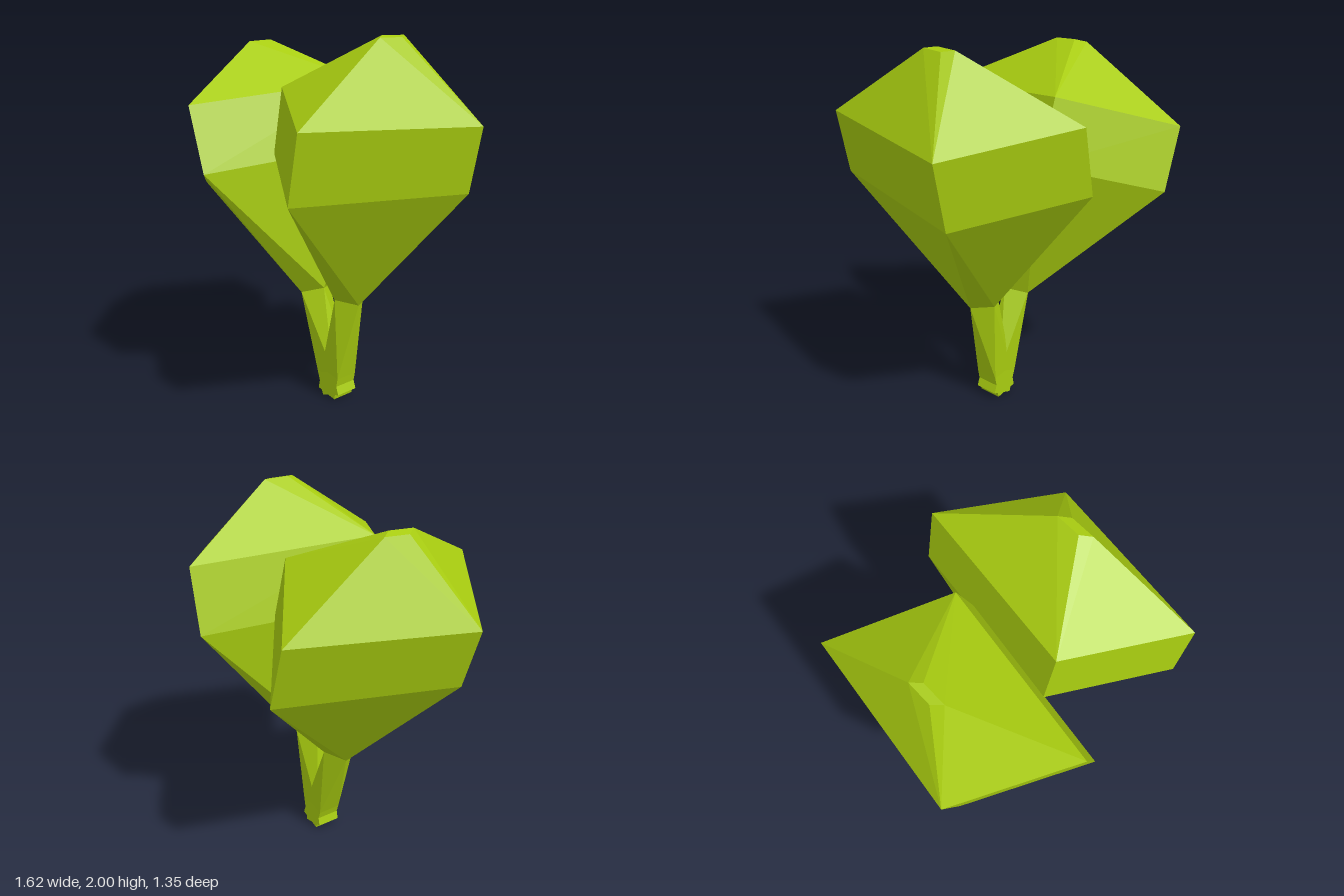
import * as THREE from 'three';
import { ConvexGeometry } from 'three/addons/geometries/ConvexGeometry.js';

const green = new THREE.MeshStandardMaterial({ color: 0xa8cc10, flatShading: true });

// Four-cornered ring at height y, starting from corner (a, b), with its width scaled by sx
function ring(y, a, b, sx = 1) {
  return [[a, b], [b, -a], [-a, -b], [-b, a]].map(([x, z]) => new THREE.Vector3(x * sx, y, z));
}

function part(name, geometry, x = 0) {
  const mesh = new THREE.Mesh(geometry, green);
  mesh.name = name;
  mesh.position.x = x;
  return mesh;
}

// One bud on its stalk, standing upright on the origin
function createBranch(name, tilt) {
  const branch = new THREE.Group();
  branch.name = name;
  const h = 0.066;
  const axis = -0.01;
  const neck = ring(0.53, -0.015, 0.092);

  // faceted bud: small cap, two wide rings, twisted narrow neck
  branch.add(part('bud', new ConvexGeometry([
    ...ring(1.945, 0.04, 0.094, 0.3),
    ...ring(1.60, 0.29, 0.677, 0.61),
    ...ring(1.25, 0.29, 0.677, 0.61),
    ...neck,
  ]), axis));

  // tapering stalk down to the square foot
  const footTop = ring(h, h, h).map((p) => p.setX(p.x - axis));
  branch.add(part('stalk', new ConvexGeometry([...neck, ...footTop]), axis));
  branch.add(part('stalkFoot', new THREE.BoxGeometry(2 * h, 2 * h, 2 * h)));

  branch.position.set(0.097, 0.084, 0);
  branch.rotation.z = tilt;
  return branch;
}

export function createModel() {
  const model = new THREE.Group();
  model.name = 'plant';
  model.add(createBranch('leftBranch', -0.2));
  model.add(createBranch('rightBranch', 0.323));
  return model;
}
